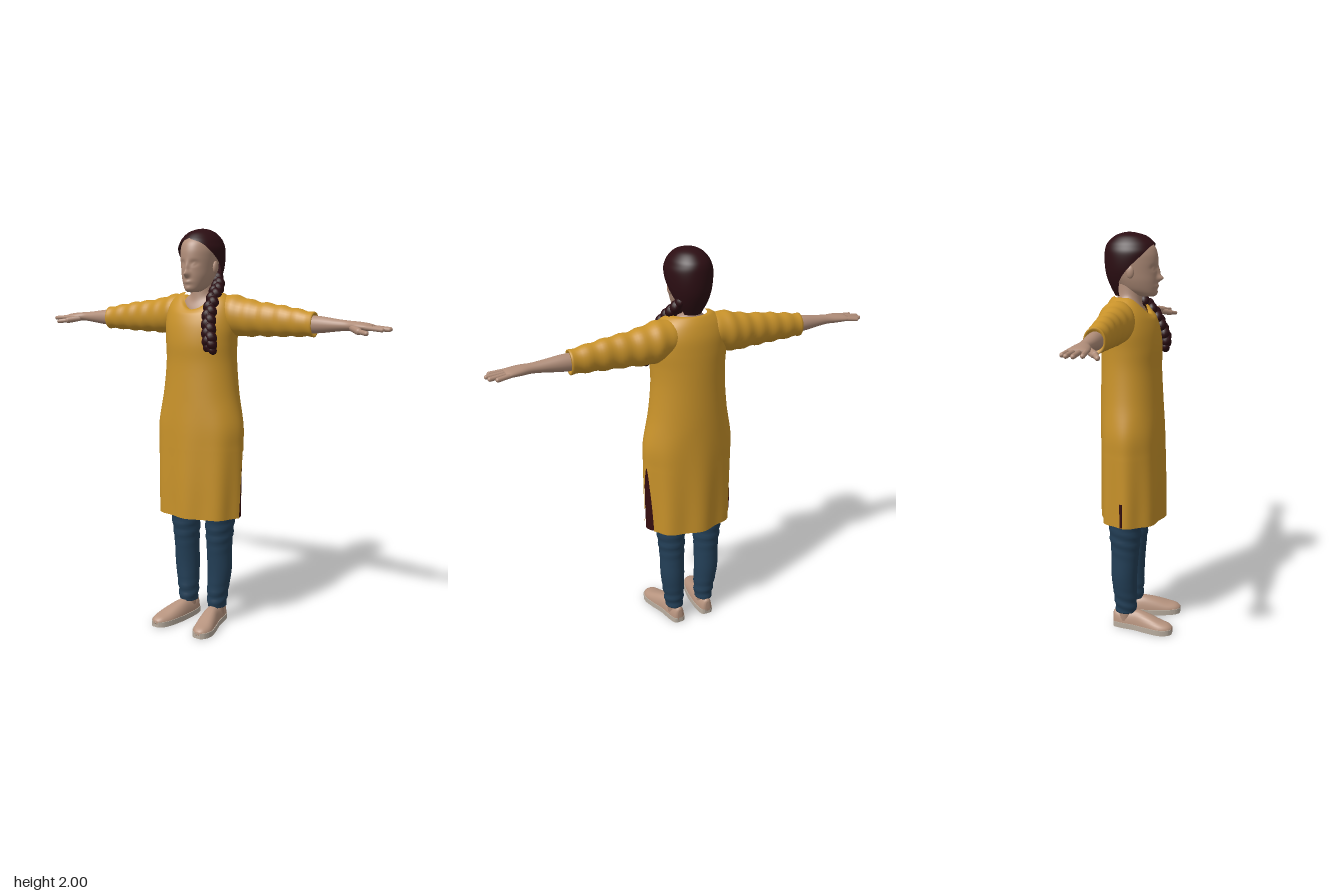
import * as THREE from 'three';
import { mergeGeometries } from 'three/addons/utils/BufferGeometryUtils.js';

const mat = (name, color, side = THREE.FrontSide) => {
  const m = new THREE.MeshStandardMaterial({ color, side });
  m.name = name;
  return m;
};
const { cos, sin, PI, max, min, exp, sign, abs } = Math;

// Catmull-Rom interpolation of rows of numbers
function smooth(rows, steps) {
  const out = [];
  for (let i = 0; i < rows.length - 1; i++) {
    const [a, b, c, d] = [-1, 0, 1, 2].map(k => rows[min(max(i + k, 0), rows.length - 1)]);
    for (let s = 0; s < steps; s++) {
      const t = s / steps;
      out.push(b.map((v, k) => {
        const cubic = 3 * (v - c[k]) + d[k] - a[k];
        const square = 2 * a[k] - 5 * v + 4 * c[k] - d[k];
        return v + 0.5 * t * (c[k] - a[k] + t * (square + t * cubic));
      }));
    }
  }
  out.push(rows[rows.length - 1].slice());
  return out;
}

// Surface through rows of points; point(row, u) gives [x, y, z] for u in 0..1
function loft(rows, n, point, { closed = true, capStart = false, capEnd = false } = {}) {
  const pos = [], idx = [], w = closed ? n : n + 1;
  rows.forEach(r => { for (let j = 0; j < w; j++) pos.push(...point(r, j / n)); });
  for (let i = 0; i < rows.length - 1; i++) for (let j = 0; j < n; j++) {
    const a = i * w + j, b = i * w + (j + 1) % w, c = a + w, d = b + w;
    idx.push(a, c, b, b, c, d);
  }
  const cap = (start, flip) => {
    const m = [0, 0, 0], k = pos.length / 3;
    for (let j = 0; j < w; j++) for (let q = 0; q < 3; q++) m[q] += pos[(start + j) * 3 + q] / w;
    pos.push(...m);
    for (let j = 0; j < n; j++) {
      const a = start + j, b = start + (j + 1) % w;
      idx.push(...(flip ? [k, b, a] : [k, a, b]));
    }
  };
  if (capStart) cap(0, false);
  if (capEnd) cap((rows.length - 1) * w, true);
  const g = new THREE.BufferGeometry();
  g.setAttribute('position', new THREE.Float32BufferAttribute(pos, 3));
  g.setIndex(idx);
  g.computeVertexNormals();
  return g;
}

// Mirrored copy across x = 0 with corner order kept outward
function mirror(geo) {
  const g = geo.clone().scale(-1, 1, 1), ix = g.index;
  for (let i = 0; i < ix.count; i += 3) {
    const t = ix.getX(i);
    ix.setX(i, ix.getX(i + 1));
    ix.setX(i + 1, t);
  }
  g.computeVertexNormals();
  return g;
}

// Ring point around y from [y, halfWidth, frontZ, backZ]
const around = ([y, rx, zf, zb], t, add = 0) =>
  [(rx + add) * cos(t), y, (zf + zb) / 2 + ((zf - zb) / 2 + add) * sin(t)];
// Ring point around x from [x, y, ry, z, rz]
const along = ([x, y, ry, z, rz], u) => [x, y + ry * cos(u * 2 * PI), z - rz * sin(u * 2 * PI)];

function capsule(a, b, r) {
  const A = new THREE.Vector3(...a), B = new THREE.Vector3(...b), d = B.clone().sub(A);
  const q = new THREE.Quaternion().setFromUnitVectors(new THREE.Vector3(0, 1, 0), d.clone().normalize());
  const mid = A.add(B).multiplyScalar(0.5);
  return new THREE.CapsuleGeometry(r, d.length(), 5, 10).applyQuaternion(q).translate(mid.x, mid.y, mid.z);
}

export function createModel() {
  const root = new THREE.Group();
  root.name = 'woman';
  const skin = mat('skin', 0xb08d79), yellow = mat('mustard cloth', 0xc8922a);
  const lining = mat('dark lining', 0x350d0f, THREE.DoubleSide);
  const hair = mat('dark hair', 0x2c0e13, THREE.DoubleSide);
  const denim = mat('blue denim', 0x233f57);
  const shoeCloth = mat('shoe cloth', 0xb7947f), rubber = mat('shoe sole', 0xb9ad9f);
  const add = (name, geo, m) => {
    const o = new THREE.Mesh(geo, m);
    o.name = name;
    root.add(o);
  };
  const pair = (name, geo, m) => {
    add('left ' + name, geo, m);
    add('right ' + name, mirror(geo), m);
  };

  // Tunic: [y, halfWidth, frontZ, backZ, neckline dip, slit half angle]
  const tunic = [
    [0.585, 0.23, 0.13, -0.19, 0, 0.2], [0.75, 0.233, 0.13, -0.19, 0, 0.15], [0.9, 0.235, 0.127, -0.19, 0, 0.06],
    [0.95, 0.235, 0.126, -0.19, 0, 0], [1.05, 0.233, 0.123, -0.19, 0, 0], [1.2, 0.203, 0.115, -0.19, 0, 0],
    [1.35, 0.187, 0.108, -0.187, 0, 0], [1.45, 0.188, 0.11, -0.185, 0, 0], [1.53, 0.195, 0.1, -0.182, 0, 0],
    [1.6, 0.19, 0.083, -0.175, 0.015, 0], [1.655, 0.165, 0.069, -0.157, 0.05, 0],
    [1.69, 0.12, 0.054, -0.135, 0.075, 0], [1.695, 0.09, 0.038, -0.122, 0.083, 0],
  ];
  const fold = (y, t) => 0.007 * min(1, max(0, (1.15 - y) / 0.5)) * cos(8 * t + 0.4);
  const tunicPoint = inset => (r, u) => {
    const gap = inset ? 0 : max(0, r[5]), t = -0.15 + gap + u * (2 * PI - 2 * gap);
    const p = around(r, t, fold(r[0], t) - inset);
    p[1] -= r[4] * max(0, sin(t)) ** 2;
    return p;
  };
  add('tunic', loft(smooth(tunic, 6), 80, tunicPoint(0), { closed: false }), yellow);
  add('tunic lining', loft(smooth(tunic.slice(0, 5), 6), 80, tunicPoint(0.006)), lining);
  add('right slit', new THREE.BoxGeometry(0.008, 0.12, 0.012).translate(-0.235, 0.65, -0.045), lining);

  // Sleeves with soft creases, open cuff turned inward
  const sleeve = smooth([
    [0.08, 1.6, 0.07, -0.07, 0.07], [0.15, 1.595, 0.092, -0.072, 0.085], [0.22, 1.58, 0.094, -0.074, 0.082],
    [0.3, 1.573, 0.083, -0.073, 0.068], [0.4, 1.568, 0.076, -0.071, 0.058], [0.5, 1.562, 0.066, -0.069, 0.052],
    [0.6, 1.555, 0.056, -0.067, 0.047],
  ], 7);
  sleeve.forEach(r => {
    const c = 0.003 * sin(r[0] * 75);
    r[2] += c;
    r[4] += c;
  });
  sleeve.push([0.602, 1.555, 0.05, -0.067, 0.042], [0.585, 1.555, 0.03, -0.067, 0.03]);
  pair('sleeve', loft(sleeve, 32, along), yellow);

  // Forearm, palm, fingers and thumb
  const arm = loft(smooth([
    [0.55, 1.555, 0.042, -0.066, 0.04], [0.63, 1.556, 0.039, -0.064, 0.037], [0.71, 1.556, 0.029, -0.063, 0.031],
    [0.77, 1.556, 0.023, -0.063, 0.028], [0.82, 1.554, 0.022, -0.06, 0.04], [0.87, 1.552, 0.017, -0.062, 0.046],
    [0.89, 1.551, 0.01, -0.063, 0.043],
  ], 5), 24, along, { capEnd: true });
  const fingers = [[-0.027, -0.02, 0.945], [-0.05, -0.053, 0.965], [-0.073, -0.084, 0.958], [-0.095, -0.107, 0.93]]
    .map(([z0, z1, x]) => capsule([0.86, 1.552, z0], [x, 1.545, z1], 0.0105));
  const thumb = [
    capsule([0.8, 1.547, -0.04], [0.845, 1.536, 0], 0.016),
    capsule([0.845, 1.536, 0], [0.89, 1.53, 0.023], 0.011),
  ];
  pair('forearm', arm, skin);
  pair('fingers', mergeGeometries([...fingers, ...thumb]), skin);

  // Trouser legs: [y, centreX, halfWidth, frontZ, backZ], with creases at knee and ankle
  const leg = smooth([
    [0.085, 0.088, 0.046, 0.0, -0.107], [0.15, 0.09, 0.052, 0.004, -0.112], [0.28, 0.099, 0.062, 0.006, -0.125],
    [0.4, 0.1, 0.063, 0.015, -0.125], [0.52, 0.103, 0.071, 0.028, -0.133], [0.66, 0.108, 0.078, 0.04, -0.14],
    [0.85, 0.108, 0.08, 0.05, -0.14],
  ], 8);
  pair('trouser leg', loft(leg, 32, ([y, x, rx, zf, zb], u) => {
    const t = u * 2 * PI;
    const zone = exp(-(((y - 0.5) / 0.08) ** 2)) + exp(-(((y - 0.14) / 0.06) ** 2));
    const p = around([y, rx, zf, zb], t, 0.003 * zone * sin(y * 110 + 2 * sin(t)));
    return [p[0] + x, p[1], p[2]];
  }, { capStart: true }), denim);
  pair('ankle', new THREE.CylinderGeometry(0.038, 0.036, 0.1, 20).translate(0.088, 0.08, -0.055), skin);

  // Shoes: [z, centreX, halfWidth, top]
  const shoe = smooth([
    [-0.12, 0.084, 0.016, 0.075], [-0.108, 0.084, 0.032, 0.088], [-0.06, 0.086, 0.042, 0.085], [0, 0.092, 0.046, 0.095],
    [0.06, 0.105, 0.053, 0.083], [0.13, 0.121, 0.054, 0.06], [0.175, 0.126, 0.04, 0.048], [0.196, 0.127, 0.018, 0.034],
  ], 4);
  pair('shoe upper', loft(shoe, 28, ([z, x, w, top], u) => {
    const c = cos(u * 2 * PI), s = -sin(u * 2 * PI);
    return [x + (w - 0.003) * sign(c) * abs(c) ** 0.75, 0.02 + (s > 0 ? (top - 0.02) * s : 0.005 * s), z];
  }, { capStart: true, capEnd: true }), shoeCloth);
  const outer = shoe.map(([z, x, w]) => [x + w, z]);
  const inner = shoe.map(([z, x, w]) => [x - w, z]).reverse();
  for (const [name, s] of [['left shoe sole', 1], ['right shoe sole', -1]]) {
    const shape = new THREE.Shape([...outer, ...inner].map(([x, z]) => new THREE.Vector2(s * x, z)));
    const sole = new THREE.ExtrudeGeometry(shape, { depth: 0.028, bevelEnabled: false });
    add(name, sole.rotateX(PI / 2).translate(0, 0.028, 0), rubber);
  }

  // Neck and upper chest
  add('neck', loft(smooth([
    [1.6, 0.11, 0.04, -0.13, 0.03], [1.665, 0.088, 0.03, -0.118, 0.05], [1.69, 0.062, 0.012, -0.11, 0.03],
    [1.72, 0.054, 0.008, -0.105, 0], [1.78, 0.053, 0.01, -0.1, 0],
  ], 5), 32, (r, u) => {
    const p = around(r, u * 2 * PI);
    p[1] -= r[4] * max(0, sin(u * 2 * PI)) ** 2;
    return p;
  }), skin);

  // Head: profile rows plus soft bumps [x, y, width, height, depth] for the features
  const bumps = [
    [0, 1.783, 0.013, 0.014, 0.025], [0, 1.812, 0.009, 0.026, 0.012], [0, 1.746, 0.022, 0.009, 0.007],
    [0, 1.716, 0.02, 0.012, 0.005], [0.033, 1.834, 0.017, 0.012, -0.009], [-0.033, 1.834, 0.017, 0.012, -0.009],
    [0.033, 1.832, 0.009, 0.006, 0.006], [-0.033, 1.832, 0.009, 0.006, 0.006],
  ];
  add('head', loft(smooth([
    [1.697, 0.02, 0.068, 0.01], [1.706, 0.038, 0.08, -0.03], [1.73, 0.056, 0.085, -0.08], [1.77, 0.071, 0.088, -0.11],
    [1.81, 0.079, 0.088, -0.13], [1.86, 0.085, 0.09, -0.14], [1.9, 0.086, 0.086, -0.14], [1.935, 0.077, 0.071, -0.13],
    [1.965, 0.05, 0.035, -0.1], [1.98, 0.015, -0.02, -0.06],
  ], 8), 96, (r, u) => {
    const p = around(r, u * 2 * PI);
    if (sin(u * 2 * PI) > 0) for (const [x, y, w, h, d] of bumps) {
      p[2] += d * exp(-(((p[0] - x) / w) ** 2) - ((p[1] - y) / h) ** 2);
    }
    return p;
  }, { capStart: true, capEnd: true }), skin);
  pair('ear', new THREE.SphereGeometry(1, 16, 12).scale(0.011, 0.03, 0.019).translate(0.087, 1.815, -0.028), skin);

  // Hair cap: [y, halfWidth, frontZ, backZ, half angle of the face opening]
  add('hair', loft(smooth([
    [1.7, 0.05, 0.0, -0.12, 2.1], [1.75, 0.08, 0.03, -0.145, 1.95], [1.8, 0.098, 0.06, -0.163, 1.68],
    [1.85, 0.107, 0.078, -0.17, 1.35], [1.9, 0.109, 0.089, -0.17, 0.95], [1.93, 0.1, 0.083, -0.165, 0.62],
    [1.953, 0.088, 0.068, -0.152, 0], [1.98, 0.062, 0.035, -0.122, 0], [1.995, 0.03, -0.012, -0.085, 0],
    [2, 0.002, -0.047, -0.053, 0],
  ], 5), 64, (r, u) => {
    const gap = max(0, r[4]);
    return around(r, PI / 2 + gap + u * (2 * PI - 2 * gap));
  }, { closed: false }), hair);

  // Braid over the left shoulder: a core with two alternating rows of lobes
  const path = new THREE.CatmullRomCurve3([
    [0.045, 1.78, -0.1], [0.075, 1.735, -0.07], [0.09, 1.69, -0.015], [0.105, 1.62, 0.05],
    [0.12, 1.55, 0.085], [0.138, 1.48, 0.105], [0.14, 1.43, 0.1],
  ].map(p => new THREE.Vector3(...p)));
  const braid = [new THREE.TubeGeometry(path, 40, 0.022, 12)];
  for (let i = 0; i < 22; i++) {
    const t = i / 21, p = path.getPoint(t), s = i % 2 ? 1 : -1;
    const r = t > 0.88 ? 0.028 - (t - 0.88) * 0.05 : 0.025 + 0.004 * t;
    braid.push(new THREE.SphereGeometry(1, 14, 10).scale(r * 0.9, r * 1.15, r).rotateZ(s * 0.5)
      .translate(p.x + s * 0.012, p.y, p.z));
  }
  add('braid', mergeGeometries(braid), hair);
  return root;
}
